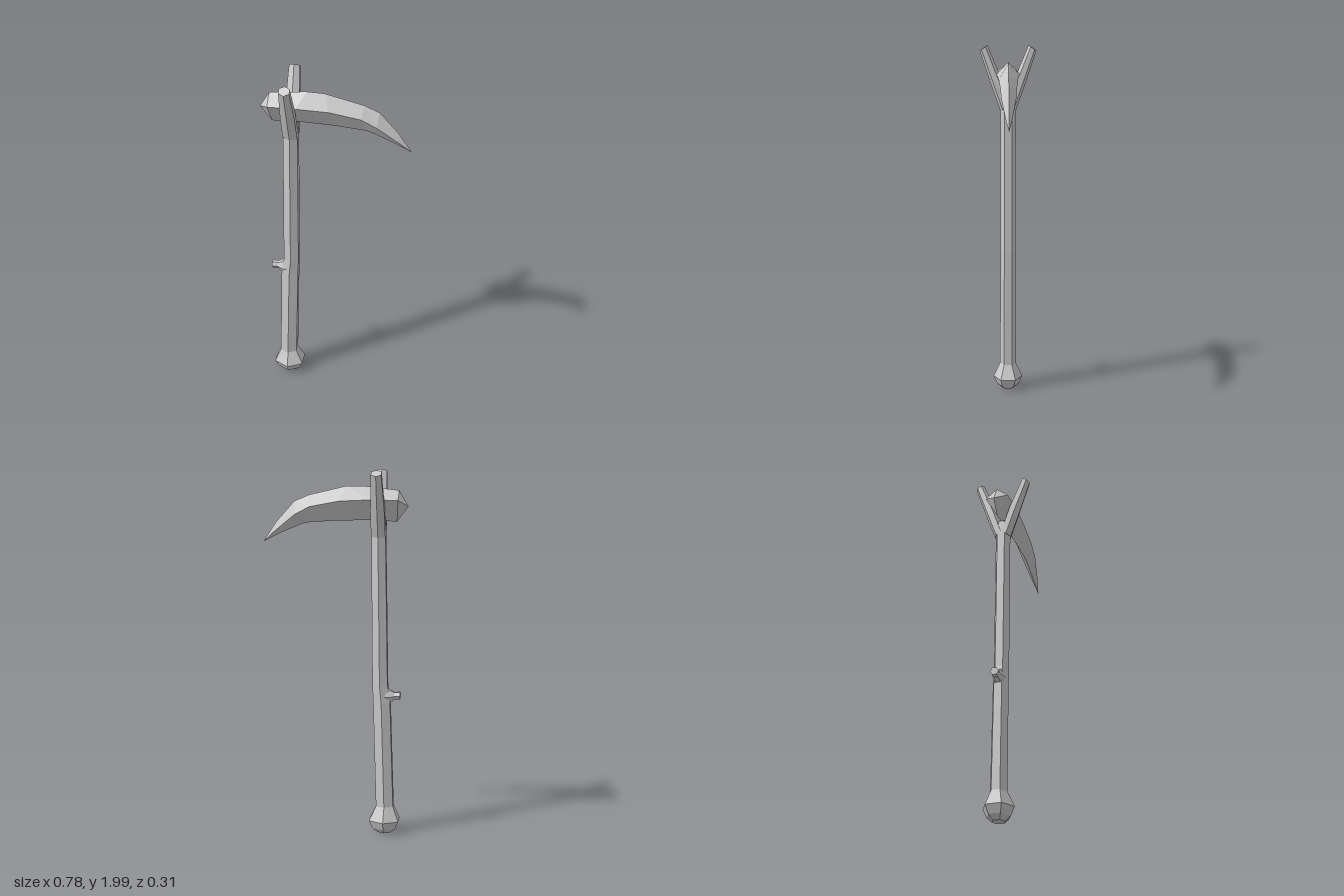
import * as THREE from 'three';

const material = new THREE.MeshStandardMaterial({ color: 0xcccccc, flatShading: true });
const V = (x, y, z) => new THREE.Vector3(x, y, z);

// Flat-shaded skin over rings that turn right-handed about the direction of travel
function loft(name, rings) {
  const pos = [];
  const tri = (a, b, c) => {
    if (a.equals(b) || b.equals(c) || c.equals(a)) return;
    for (const p of [a, b, c]) pos.push(p.x, p.y, p.z);
  };
  const n = rings[0].length;
  for (let r = 0; r < rings.length - 1; r++) {
    const a = rings[r], b = rings[r + 1];
    for (let i = 0; i < n; i++) {
      const j = (i + 1) % n;
      tri(a[i], a[j], b[j]);
      tri(a[i], b[j], b[i]);
    }
  }
  // end caps
  const first = rings[0], last = rings[rings.length - 1];
  for (let i = 1; i < n - 1; i++) {
    tri(first[0], first[i + 1], first[i]);
    tri(last[0], last[i], last[i + 1]);
  }
  const geo = new THREE.BufferGeometry();
  geo.setAttribute('position', new THREE.Float32BufferAttribute(pos, 3));
  geo.computeVertexNormals();
  const mesh = new THREE.Mesh(geo, material);
  mesh.name = name;
  return mesh;
}

// Hexagon lying across y, with half widths rx and rz and an optional slope along z
function hexY(x, y, z, rx, rz, slope = 0) {
  return Array.from({ length: 6 }, (_, i) => {
    const a = i * Math.PI / 3;
    const dz = Math.cos(a) * rz;
    return V(x + Math.sin(a) / Math.sin(Math.PI / 3) * rx, y + dz * slope, z + dz);
  });
}

// Hexagon lying across -x, for the twig stub
function hexX(x, y, ry, rz) {
  return Array.from({ length: 6 }, (_, i) => {
    const a = i * Math.PI / 3;
    return V(x, y + Math.sin(a) * ry, Math.cos(a) * rz);
  });
}

export function createModel() {
  const model = new THREE.Group();

  // slightly bent shaft with a rounded pommel
  model.add(loft('handle', [
    [-0.28, 0.004, 0.035, 0.035],
    [-0.28, 0.03, 0.062, 0.064],
    [-0.28, 0.075, 0.081, 0.084],
    [-0.282, 0.155, 0.047, 0.046],
    [-0.262, 0.74, 0.046, 0.043],
    [-0.252, 0.84, 0.041, 0.042],
    [-0.238, 1.66, 0.038, 0.042],
    [-0.238, 1.73, 0.034, 0.03],
  ].map(([x, y, rx, rz]) => hexY(x, y, 0, rx, rz))));

  // broken twig on the shaft
  model.add(loft('twigStub', [
    [-0.27, 0.775, 0.075, 0.035],
    [-0.305, 0.775, 0.042, 0.03],
    [-0.33, 0.78, 0.022, 0.02],
    [-0.362, 0.782, 0.022, 0.024],
  ].map(([x, y, ry, rz]) => hexX(x, y, ry, rz))));

  // forked prongs gripping the blade
  for (const s of [1, -1]) {
    model.add(loft(s > 0 ? 'frontProng' : 'backProng', [
      hexY(-0.238, 1.65, s * 0.014, 0.038, 0.03, -s * 0.3),
      hexY(-0.238, 1.79, s * 0.062, 0.037, 0.029, -s * 0.6),
      hexY(-0.238, 1.982, s * 0.134, 0.0275, 0.021, -s * 0.75),
    ]));
  }

  // curved blade: x and y of the top, side and bottom ridges, then half thickness
  model.add(loft('blade', [
    [-0.395, 1.805, -0.395, 1.805, -0.395, 1.805, 0],
    [-0.345, 1.89, -0.345, 1.84, -0.335, 1.725, 0.064],
    [-0.15, 1.912, -0.2, 1.842, -0.2, 1.732, 0.063],
    [-0.06, 1.91, -0.03, 1.833, 0.0, 1.727, 0.052],
    [0.14, 1.862, 0.13, 1.802, 0.15, 1.715, 0.043],
    [0.22, 1.828, 0.21, 1.76, 0.18, 1.707, 0.039],
    [0.32, 1.715, 0.32, 1.672, 0.29, 1.66, 0.018],
    [0.39, 1.61, 0.39, 1.61, 0.39, 1.61, 0],
  ].map(([tx, ty, mx, my, bx, by, w]) =>
    [V(tx, ty, 0), V(mx, my, w), V(bx, by, 0), V(mx, my, -w)])));

  return model;
}
